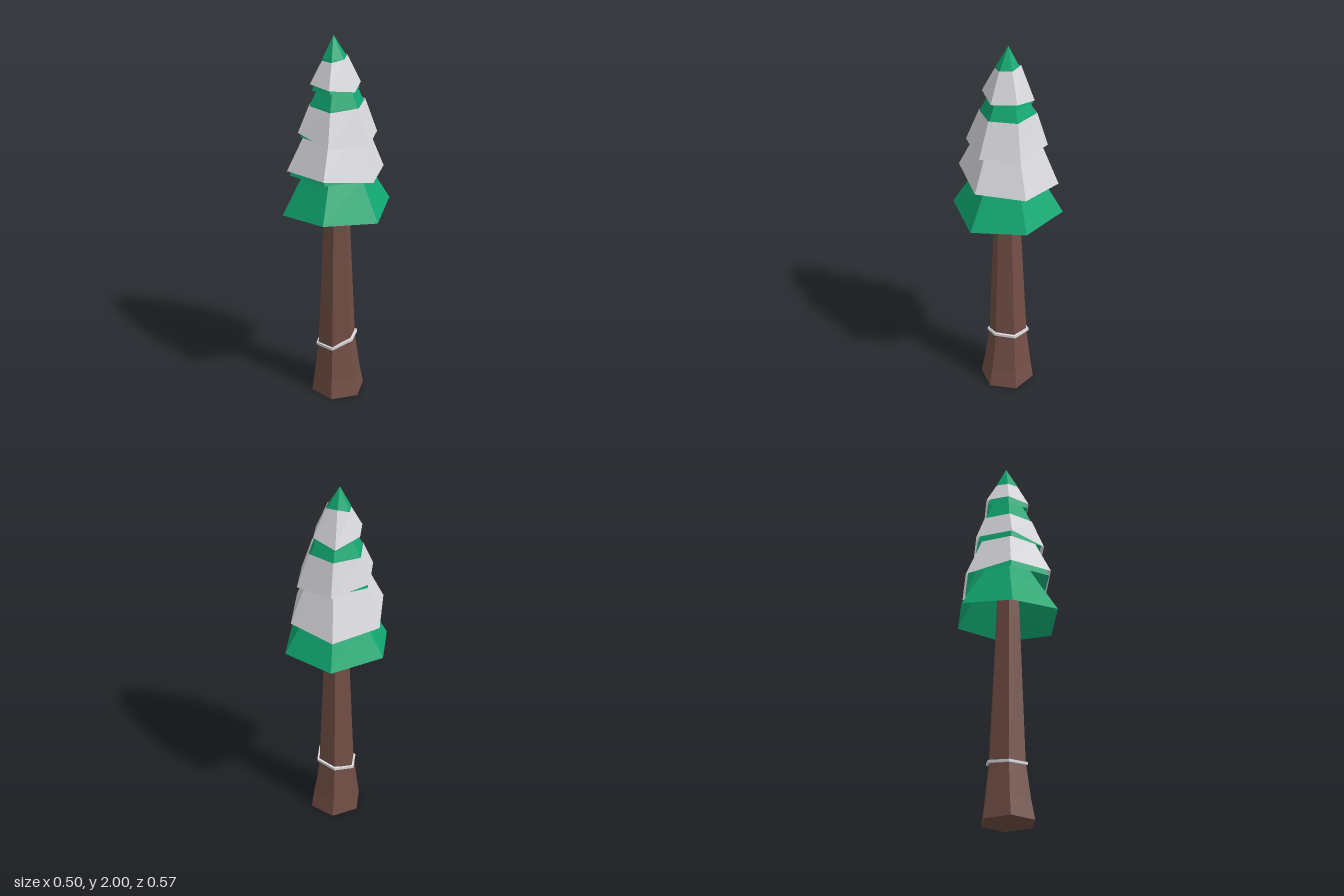
import * as THREE from 'three';

const SIDES = 6;

// One hexagonal cross-section; y is a number or a height per corner,
// starting at the front and turning towards +x.
const ring = (r, y, cx = 0, cz = 0) => ({ r, y, cx, cz });

function corner({ r, y, cx, cz }, j) {
  const k = j % SIDES, a = (k / SIDES) * Math.PI * 2;
  return [cx + Math.sin(a) * r, Array.isArray(y) ? y[k] : y, cz + Math.cos(a) * r];
}

// Flat-shaded skin through a stack of rings, bottom to top.
function loft(name, material, rings) {
  const pos = [];
  for (let i = 0; i < rings.length - 1; i++) {
    const lo = rings[i], hi = rings[i + 1];
    for (let j = 0; j < SIDES; j++) {
      const a = corner(lo, j), b = corner(lo, j + 1);
      const c = corner(hi, j + 1), d = corner(hi, j);
      if (lo.r > 0) pos.push(...a, ...b, ...c);
      if (hi.r > 0) pos.push(...a, ...c, ...d);
    }
  }
  const geo = new THREE.BufferGeometry();
  geo.setAttribute('position', new THREE.Float32BufferAttribute(pos, 3));
  geo.computeVertexNormals();
  const mesh = new THREE.Mesh(geo, material);
  mesh.name = name;
  return mesh;
}

export function createModel() {
  const bark = new THREE.MeshStandardMaterial({ color: 0x734f46 });
  bark.name = 'bark';
  const needles = new THREE.MeshStandardMaterial({ color: 0x11a872, side: THREE.DoubleSide });
  needles.name = 'needles';
  const snow = new THREE.MeshStandardMaterial({ color: 0xdad9de, side: THREE.DoubleSide });
  snow.name = 'snow';

  const tree = new THREE.Group();
  tree.name = 'snowyPine';

  // Flared trunk with a closed foot
  tree.add(loft('trunk', bark, [
    ring(0, 0, 0, 0.007), ring(0.145, 0, 0, 0.007), ring(0.128, 0.1, 0, 0.003),
    ring(0.102, 0.3), ring(0.067, 1.1, -0.005, 0.003), ring(0.058, 1.35, -0.005, 0.003),
  ]));

  // Thin tilted band around the trunk
  const bandY = [0.332, 0.328, 0.318, 0.295, 0.284, 0.29];
  const bandRing = (r, dy) => ring(r, bandY.map((y) => y + dy));
  tree.add(loft('trunkBand', snow, [
    bandRing(0.09, -0.008), bandRing(0.114, -0.007), bandRing(0.114, 0.007), bandRing(0.09, 0.008),
  ]));

  // Branch tiers: open skirts, each tucked into the one above
  const branchTiers = [
    [ring(0.286, [1.08, 1.1, 1.1, 1.11, 1.07, 1.1], -0.003), ring(0.178, 1.28), ring(0.08, 1.45)],
    [ring(0.243, [1.3, 1.29, 1.28, 1.295, 1.285, 1.3], -0.003, -0.004), ring(0.13, 1.56)],
    [ring(0.193, [1.485, 1.49, 1.5, 1.495, 1.49, 1.49], 0, 0.005),
      ring(0.138, 1.655), ring(0.08, 1.78)],
    [ring(0.123, [1.74, 1.72, 1.71, 1.745, 1.725, 1.735], -0.003, -0.004),
      ring(0.06, 1.89, -0.008, -0.008), ring(0, 2, -0.01, -0.013)],
  ];
  branchTiers.forEach((rings, i) => tree.add(loft('branchTier' + (i + 1), needles, rings)));

  // Snow shells lying over the upper three tiers
  const snowTiers = [
    [ring(0.256, [1.29, 1.28, 1.262, 1.285, 1.31, 1.325], -0.002, -0.006), ring(0.139, 1.56)],
    [ring(0.207, [1.472, 1.48, 1.49, 1.522, 1.515, 1.482], -0.002, 0.008),
      ring(0.146, [1.658, 1.66, 1.66, 1.655, 1.65, 1.648], 0, 0.001)],
    [ring(0.131, [1.737, 1.748, 1.722, 1.768, 1.76, 1.755], -0.004, -0.006),
      ring(0.065, [1.89, 1.895, 1.905, 1.88, 1.875, 1.878], -0.008, -0.008)],
  ];
  snowTiers.forEach((rings, i) => tree.add(loft('snowTier' + (i + 2), snow, rings)));

  return tree;
}
